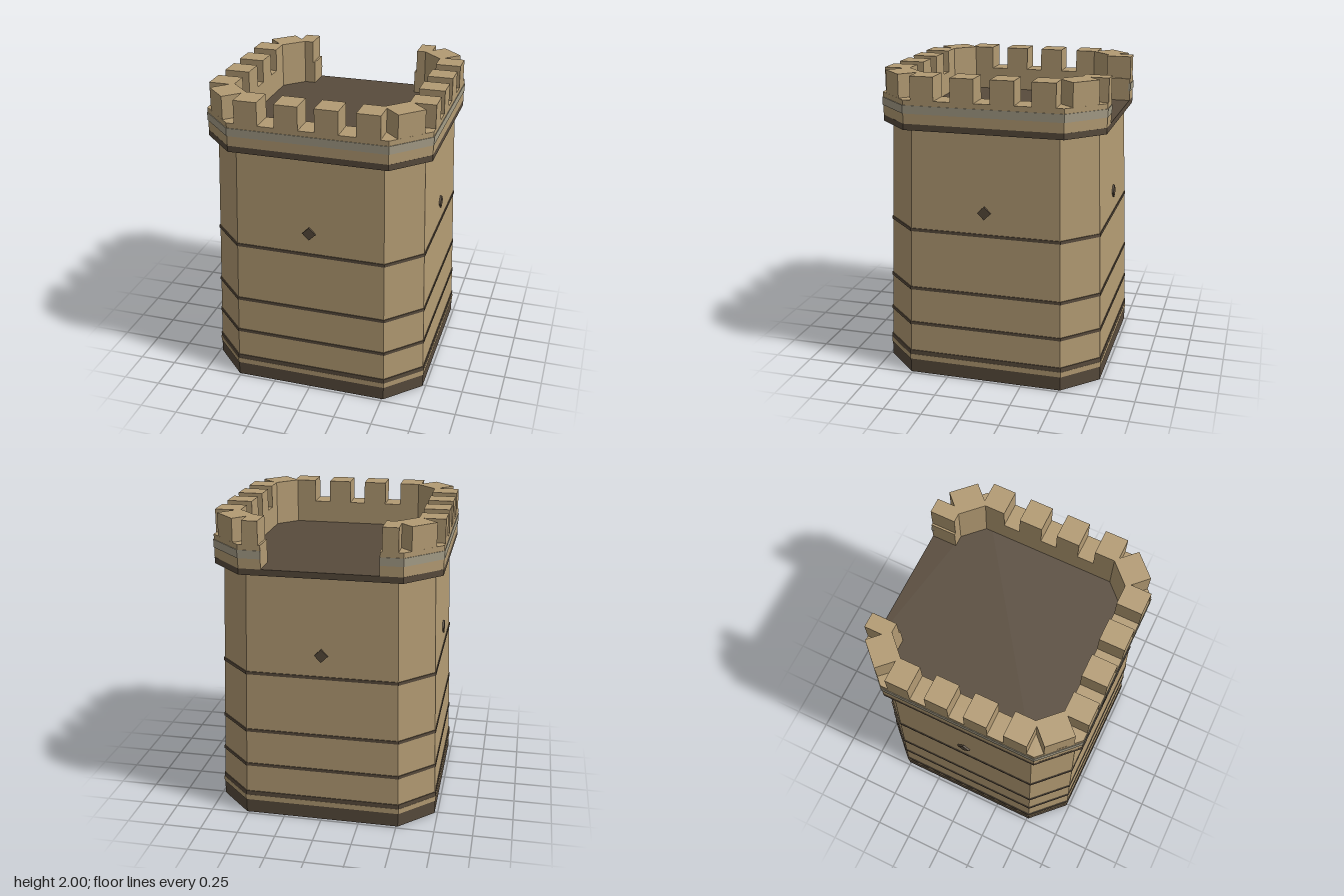
import * as THREE from 'three';

export function createModel() {
  const tower = new THREE.Group();
  tower.name = 'castleTower';

  const sand = new THREE.MeshStandardMaterial({ name: 'sandstone', color: 0xb39b73 });
  const dark = new THREE.MeshStandardMaterial({ name: 'darkStone', color: 0x584b3c });
  const grey = new THREE.MeshStandardMaterial({ name: 'greyTrim', color: 0xa59d87 });

  const add = (name, geometry, material, parent = tower) => {
    const mesh = new THREE.Mesh(geometry, material);
    mesh.name = name;
    parent.add(mesh);
    return mesh;
  };

  // Extrudes a ground outline of [x, z] points upward from y0 to y1
  const raise = (points, y0, y1) => {
    const shape = new THREE.Shape(points.map(([x, z]) => new THREE.Vector2(x, -z)));
    const geometry = new THREE.ExtrudeGeometry(shape, { depth: y1 - y0, bevelEnabled: false });
    return geometry.rotateX(-Math.PI / 2).translate(0, y0, 0);
  };

  // Square of half width w with chamfered corners starting at c
  const octagon = (w, c = w * 0.7) => [
    [c, -w], [w, -c], [w, c], [c, w], [-c, w], [-w, c], [-w, -c], [-c, -w],
  ];

  // Octagonal block whose half width follows a rule over its height
  const taperedBlock = (y0, y1, widthAt) => {
    const geometry = raise(octagon(1), y0, y1);
    const p = geometry.attributes.position;
    for (let i = 0; i < p.count; i++) {
      const w = widthAt(p.getY(i));
      p.setXYZ(i, p.getX(i) * w, p.getY(i), p.getZ(i) * w);
    }
    geometry.computeVertexNormals();
    return geometry;
  };

  // Ring between two octagons, open at the back for |x| < gap
  const openRing = (outer, inner, gap, y0, y1) => raise([
    [gap, outer[0][1]], ...outer, [-gap, outer[0][1]],
    [-gap, inner[0][1]], ...[...inner].reverse(), [gap, inner[0][1]],
  ], y0, y1);

  const wallWidth = (y) => 0.732 - 0.032 * y;

  // Base and walls
  add('plinth', raise(octagon(0.73), 0, 0.095), dark);
  add('plinthTrim', raise(octagon(0.734), 0.095, 0.13), sand);
  add('walls', taperedBlock(0.13, 1.66, wallWidth), sand);

  // Dark courses around the walls
  for (const [y, h] of [[0.145, 0.03], [0.355, 0.02], [0.6, 0.02], [1.0, 0.02]]) {
    add('darkCourse', taperedBlock(y - h / 2, y + h / 2, (v) => wallWidth(v) + 0.005), dark);
  }

  // Diamond window on each side
  for (let i = 0; i < 4; i++) {
    const side = new THREE.Group();
    side.name = 'diamondWindow';
    side.rotation.y = i * Math.PI / 2;
    const diamond = add('diamond', new THREE.BoxGeometry(0.062, 0.062, 0.02), dark, side);
    diamond.position.set(0, 1.15, 0.697);
    diamond.rotation.z = Math.PI / 4;
    tower.add(side);
  }

  // Roof deck and parapet with its trim
  add('roofDeck', raise(octagon(0.73), 1.66, 1.7), dark);
  add('parapet', openRing(octagon(0.73, 0.51), octagon(0.565, 0.44), 0.367, 1.7, 1.85), sand);
  add('parapetTrim', openRing(octagon(0.734, 0.512), octagon(0.72, 0.505), 0.366, 1.765, 1.817), grey);

  // Merlons
  const merlon = (name, width, depth, x, z, turn = 0) => {
    const mesh = add(name, new THREE.BoxGeometry(width, 0.15, depth), sand);
    mesh.position.set(x, 1.925, z);
    mesh.rotation.y = turn;
  };
  const mid = 0.6475;
  for (const s of [-0.385, -0.127, 0.127, 0.385]) {
    merlon('frontMerlon', 0.15, 0.165, s, mid);
    merlon('leftMerlon', 0.165, 0.15, mid, s);
    merlon('rightMerlon', 0.165, 0.15, -mid, s);
  }
  for (const sx of [-1, 1]) {
    merlon('backMerlon', 0.1, 0.165, sx * 0.43, -mid);
    for (const sz of [-1, 1]) {
      merlon('cornerMerlon', 0.19, 0.166, sx * 0.561, sz * 0.561, sx * sz * Math.PI / 4);
    }
  }

  return tower;
}
